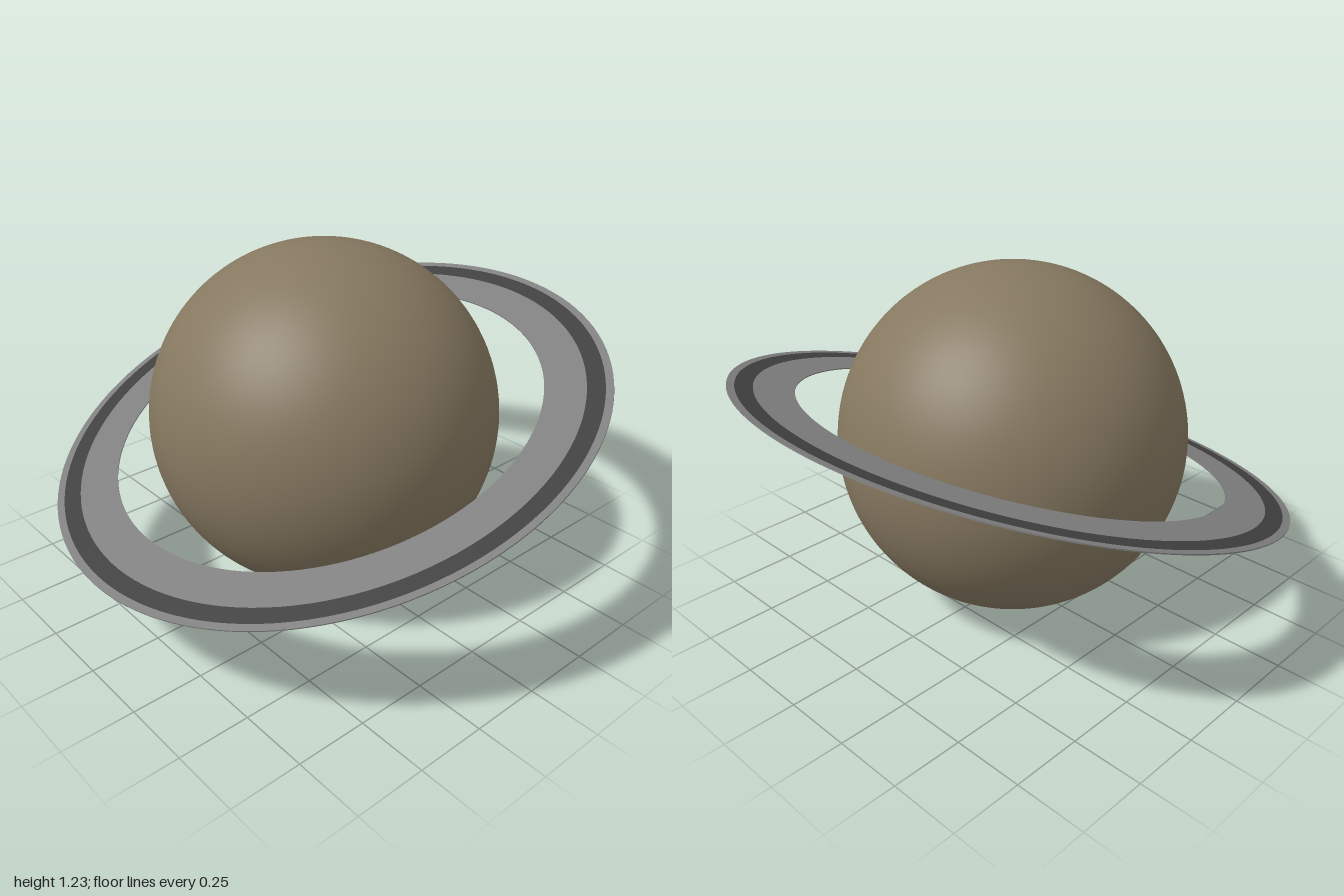
import * as THREE from 'three';

const mat = (name, color) => {
  const m = new THREE.MeshStandardMaterial({ color });
  m.name = name;
  return m;
};

export function createModel() {
  const tan = mat('planetTan', 0x867860);
  const grey = mat('ringGrey', 0x808080);
  const dark = mat('ringDark', 0x404040);
  const polar = mat('poleGrey', 0x5a5a5a);

  const model = new THREE.Group();
  model.name = 'ringedPlanet';

  // Everything shares one tilted axis through the planet's centre
  const tilted = new THREE.Group();
  tilted.name = 'tiltedPlanet';
  tilted.position.y = 0.615;
  tilted.quaternion.setFromUnitVectors(
    new THREE.Vector3(0, 1, 0), new THREE.Vector3(-0.315, 1, -0.05).normalize());
  model.add(tilted);

  const add = (name, geometry, material) => {
    const mesh = new THREE.Mesh(geometry, material);
    mesh.name = name;
    tilted.add(mesh);
  };

  // Globe with a dark cap at the south pole
  const R = 0.615, capAngle = 0.18;
  add('globe', new THREE.SphereGeometry(R, 96, 64, 0, Math.PI * 2, 0, Math.PI - capAngle), tan);
  add('southPoleCap',
    new THREE.SphereGeometry(R, 96, 6, 0, Math.PI * 2, Math.PI - capAngle, capAngle), polar);

  // Flat ring bands; the dark band is narrower on the underside
  const half = 0.002;
  const faces = [
    { name: 'Top', side: 1, radii: [0.773, 0.912, 0.972, 0.998] },
    { name: 'Bottom', side: -1, radii: [0.773, 0.872, 0.925, 0.998] },
  ];
  for (const { name, side, radii } of faces) {
    ['innerBand', 'darkBand', 'outerBand'].forEach((band, i) => {
      const g = new THREE.RingGeometry(radii[i], radii[i + 1], 128);
      g.rotateX(-side * Math.PI / 2).translate(0, side * half, 0);
      add(band + name, g, i === 1 ? dark : grey);
    });
  }

  // Thin rims closing the ring's edges
  const rim = (r) => new THREE.CylinderGeometry(r, r, half * 2, 128, 1, true);
  add('outerRim', rim(0.998), grey);
  add('innerRim', rim(0.773).scale(1, 1, -1), grey);

  return model;
}
